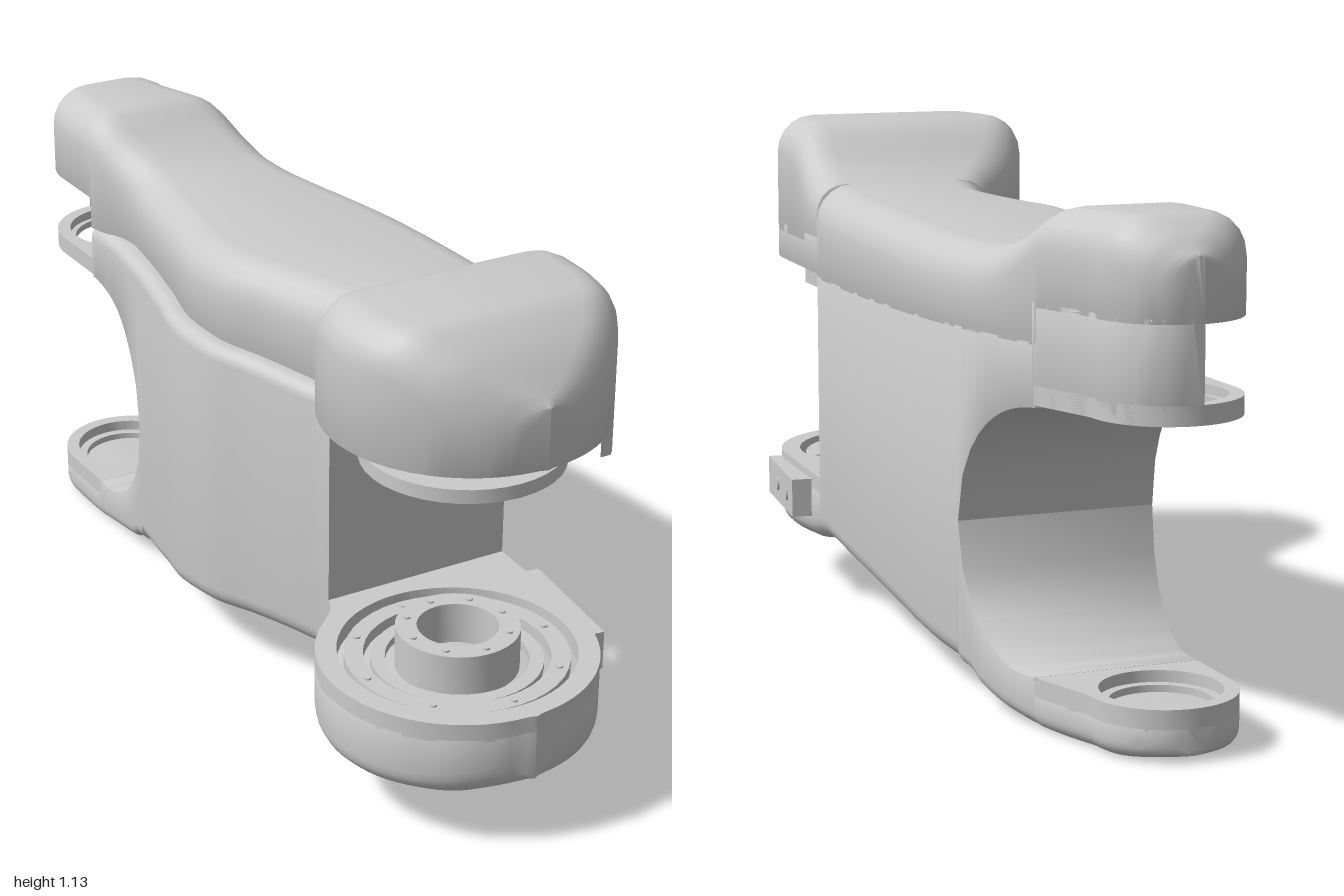
import * as THREE from 'three';
import { toCreasedNormals } from 'three/addons/utils/BufferGeometryUtils.js';

const FRONT = { x: -0.03, z: 0.7, r: 0.295 };
const BACK = { x: -0.04, z: -0.845, r: 0.155 };

// Smooth interpolation through [z, value] pairs, z ascending
function curve(p) {
  const d = i => (p[i + 1][1] - p[i][1]) / (p[i + 1][0] - p[i][0]);
  const slope = i => {
    if (i === 0 || i === p.length - 1) return d(Math.min(i, p.length - 2));
    const a = d(i - 1), b = d(i);
    return a * b <= 0 ? 0 : (2 * a * b) / (a + b);
  };
  return z => {
    let i = 0;
    while (i < p.length - 2 && z > p[i + 1][0]) i++;
    const h = p[i + 1][0] - p[i][0], t = THREE.MathUtils.clamp((z - p[i][0]) / h, 0, 1);
    const t2 = t * t, t3 = t2 * t;
    return (2 * t3 - 3 * t2 + 1) * p[i][1] + (t3 - 2 * t2 + t) * h * slope(i)
      + (3 * t2 - 2 * t3) * p[i + 1][1] + (t3 - t2) * h * slope(i + 1);
  };
}

// Plan outline, with round ends
const chord = (c, z) => Math.sqrt(Math.max(c.r * c.r - (z - c.z) ** 2, 1e-6));
const leftMid = curve([[-0.845, -0.195], [-0.6, -0.19], [-0.45, -0.205], [-0.25, -0.24], [-0.08, -0.272],
  [0.02, -0.268], [0.15, -0.23], [0.3, -0.19], [0.4, -0.165], [0.45, -0.188]]);
const rightMid = curve([[-0.845, 0.115], [-0.6, 0.195], [-0.4, 0.235], [-0.2, 0.262], [0, 0.275],
  [0.2, 0.28], [0.4, 0.275], [0.7, 0.265]]);
const xMin = z => z > 0.45 ? FRONT.x - chord(FRONT, z) : z < BACK.z ? BACK.x - chord(BACK, z) : leftMid(z);
const xMax = z => z > FRONT.z ? FRONT.x + chord(FRONT, z) : z < BACK.z ? BACK.x + chord(BACK, z) : rightMid(z);

// Side outline
const topY = curve([[-1, 0.99], [-0.96, 1.03], [-0.89, 1.06], [-0.72, 1.06], [-0.6, 1.0], [-0.5, 0.965], [-0.4, 0.957],
  [0, 0.975], [0.35, 0.99], [0.47, 1.03], [0.6, 1.12], [0.65, 1.13], [0.82, 1.13], [0.9, 1.09], [1, 0.99]]);
const baseY = curve([[-1, 0.015], [-0.9, 0.003], [-0.75, 0], [-0.6, 0.015], [-0.5, 0.04], [-0.46, 0.063], [-0.3, 0.085],
  [-0.1, 0.122], [0.1, 0.15], [0.35, 0.17], [0.5, 0.145], [0.7, 0.13], [0.92, 0.14], [1, 0.165]]);
const arc = z => Math.sqrt(Math.max(0.28 ** 2 - (z + 0.7) ** 2, 0));
const inset = curve([[-0.68, 0], [-0.52, 0.04], [0.3, 0.04], [0.44, 0]]);

function stations(a, b, extra = []) {
  const list = [a, b, ...extra];
  for (let i = 1; i < 90; i++) {
    const z = Math.sin((i / 45 - 1) * Math.PI / 2);
    if (z > a + 0.002 && z < b - 0.002) list.push(z);
  }
  return list.sort((p, q) => p - q);
}

// Skin of rounded rectangles along z; radii: lower left, lower right, upper right, upper left
function loft(zs, lo, hi, radii, x0 = xMin, x1 = xMax) {
  const pos = [], idx = [], K = 5, n = 4 * (K + 1);
  for (const z of zs) {
    const l = x0(z), r = x1(z), b = lo(z), t = hi(z);
    const corners = [[l, b, 1, 1], [r, b, -1, 1], [r, t, -1, -1], [l, t, 1, -1]];
    corners.forEach(([x, y, sx, sy], c) => {
      const q = Math.max(Math.min(radii[c], (r - l) * 0.49, (t - b) * 0.49), 0.0003);
      for (let k = 0; k <= K; k++) {
        const a = Math.PI + (c + k / K) * Math.PI / 2;
        pos.push(x + sx * q + q * Math.cos(a), y + sy * q + q * Math.sin(a), z);
      }
    });
  }
  for (let i = 0; i < zs.length - 1; i++) for (let j = 0; j < n; j++) {
    const a = i * n + j, b = i * n + (j + 1) % n;
    idx.push(a, b, a + n, b, b + n, a + n);
  }
  const e = (zs.length - 1) * n;
  for (let j = 1; j < n - 1; j++) idx.push(0, j + 1, j, e, e + j, e + j + 1);
  const g = new THREE.BufferGeometry();
  g.setAttribute('position', new THREE.Float32BufferAttribute(pos, 3));
  g.setIndex(idx);
  return toCreasedNormals(g, 0.6);
}

// Flat plate following the plan outline, with a round hole
function plate(a, b, y0, y1, hole, radius) {
  const zs = stations(a, b);
  const pts = zs.map(z => new THREE.Vector2(xMax(z), z));
  zs.reverse().forEach(z => pts.push(new THREE.Vector2(xMin(z), z)));
  const s = new THREE.Shape(pts);
  s.holes.push(new THREE.Path().absarc(hole.x, hole.z, radius, 0, Math.PI * 2, true));
  const g = new THREE.ExtrudeGeometry(s, { depth: y1 - y0, bevelEnabled: false, curveSegments: 32 });
  g.rotateX(Math.PI / 2).translate(0, y1, 0);
  return toCreasedNormals(g, 0.5);
}

// Ring of rectangular section
function ring(c, rIn, rOut, y0, y1) {
  const p = [[rIn, y0], [rOut, y0], [rOut, y1], [rIn, y1], [rIn, y0]].map(q => new THREE.Vector2(...q));
  return toCreasedNormals(new THREE.LatheGeometry(p, 40), 0.5).translate(c.x, 0, c.z);
}

export function createModel() {
  const group = new THREE.Group();
  const material = new THREE.MeshStandardMaterial({ color: 0xcccccc, side: THREE.DoubleSide });
  const add = (name, geometry, parent = group) => {
    const m = new THREE.Mesh(geometry, material);
    m.name = name;
    parent.add(m);
    return m;
  };
  const flat = y => () => y;

  // Long top cover, set back from the ledge on one side
  const coverLow = z => z > 0.4 || z < -0.69 ? 0.86 : 0.785;
  add('topCover', loft(stations(-0.9995, 0.9995, [-0.691, -0.689, 0.399, 0.401]), coverLow, topY,
    [0, 0, 0.085, 0.085], z => xMin(z) + inset(z)));

  // Central body, with the round cut at the back
  add('body', loft(stations(-0.42, 0.4), baseY, flat(0.79), [0.05, 0.05, 0, 0.03]));
  add('upperRearBody', loft(stations(-0.69, -0.42), z => 0.38 + arc(z), flat(0.79), [0, 0, 0, 0.03]));
  const armTop = z => z < -0.69 ? 0.07 : Math.max(0.11, 0.38 - arc(z));
  add('lowerRearArm', loft(stations(-0.9995, -0.42, [-0.691, -0.689]), baseY, armTop, [0.035, 0.035, 0, 0]));

  // Rear joint: lower cup, upper ring and the wall between ring and cover
  add('rearCupRim', plate(-0.9995, -0.69, 0.065, 0.11, BACK, 0.125));
  add('rearCupLip', ring(BACK, 0.105, 0.126, 0.06, 0.085));
  add('rearUpperRing', plate(-0.9995, -0.685, 0.665, 0.705, BACK, 0.125));
  add('rearUpperLip', ring(BACK, 0.112, 0.126, 0.67, 0.685));
  add('rearWall', loft(stations(-0.9995, -0.68), flat(0.665), flat(0.87), [0, 0, 0, 0],
    z => Math.max(xMin(z), xMax(z) - 0.025)));

  // Front lower joint: housing, rim, bearing rings and hollow hub
  add('frontHousing', loft(stations(0.4, 0.9995), baseY, flat(0.275), [0.05, 0.05, 0, 0]));
  add('frontHousingRim', plate(0.4, 0.9995, 0.27, 0.312, FRONT, 0.25));
  add('outerBearingRing', ring(FRONT, 0.195, 0.235, 0.27, 0.302));
  add('innerBearingRing', ring(FRONT, 0.15, 0.18, 0.27, 0.292));
  add('lowerHub', ring(FRONT, 0.085, 0.13, 0.27, 0.367));
  for (let i = 0; i < 8; i++) {
    const a = i * Math.PI / 4;
    for (const [r, y] of [[0.215, 0.302], [0.108, 0.367]]) {
      add('screw', new THREE.CylinderGeometry(0.008, 0.008, 0.008, 10)
        .translate(FRONT.x + r * Math.cos(a), y, FRONT.z + r * Math.sin(a)));
    }
  }

  // Front upper joint under the cover
  add('upperFlange', ring(FRONT, 0.12, 0.21, 0.76, 0.79));
  add('upperFlangeLip', ring(FRONT, 0.15, 0.18, 0.745, 0.765));
  add('upperHub', ring(FRONT, 0.085, 0.13, 0.73, 0.81));
  add('upperMount', new THREE.CylinderGeometry(0.13, 0.13, 0.09, 40).translate(0.02, 0.825, FRONT.z));
  add('flangeArm', new THREE.BoxGeometry(0.33, 0.035, 0.17).translate(0.09, 0.772, 0.475));
  add('coverSkirt', loft(stations(0.39, 0.9), flat(0.795), flat(0.88), [0, 0, 0, 0], z => xMax(z) - 0.025));

  // Angled block on the side of the front housing
  const block = new THREE.Group();
  block.name = 'sideBlock';
  block.position.set(0.272, 0.25, 0.622);
  block.rotation.y = -0.1;
  group.add(block);
  add('blockBody', new THREE.BoxGeometry(0.065, 0.09, 0.295), block);
  add('blockPort', new THREE.CylinderGeometry(0.017, 0.017, 0.006, 16).rotateZ(Math.PI / 2)
    .translate(0.034, 0, 0.03), block);
  add('blockMarker', new THREE.CylinderGeometry(0.018, 0.018, 0.006, 3).rotateZ(Math.PI / 2)
    .translate(0.034, 0, -0.085), block);

  return group;
}
